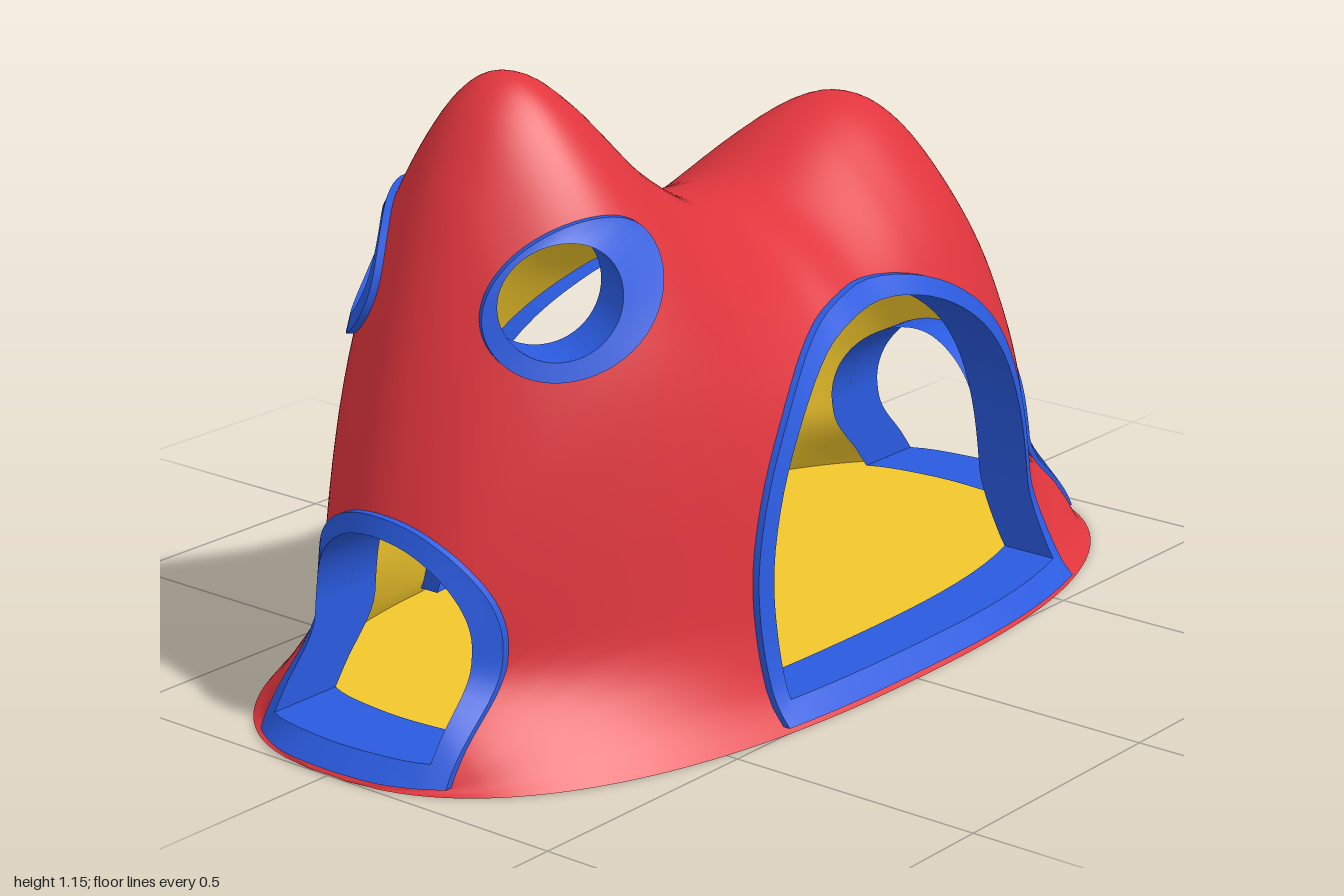
import * as THREE from 'three';
import { toCreasedNormals } from 'three/addons/utils/BufferGeometryUtils.js';

const RED = 0xe0353d, BLUE = 0x2a5be0, YELLOW = 0xf2c72c;
const V = (x, y, z) => new THREE.Vector3(x, y, z);
const { lerp, smoothstep } = THREE.MathUtils;

// Ridge line along x: two humps with a saddle between
const ridge = new THREE.CatmullRomCurve3([
  [-0.999, 0.001], [-0.95, 0.06], [-0.915, 0.15], [-0.885, 0.3], [-0.86, 0.43], [-0.805, 0.65], [-0.74, 0.85],
  [-0.68, 0.99], [-0.6, 1.11], [-0.54, 1.15], [-0.49, 1.145], [-0.42, 1.1], [-0.25, 0.945], [-0.07, 0.838],
  [0.03, 0.83], [0.12, 0.836], [0.28, 0.91], [0.38, 0.938], [0.45, 0.935], [0.52, 0.9], [0.6, 0.82], [0.7, 0.66],
  [0.82, 0.43], [0.87, 0.3], [0.91, 0.15], [0.95, 0.06], [0.999, 0.001],
].map(([x, y]) => V(x, y, 0))).getSpacedPoints(240);

// Cross-section as fractions of half width and ridge height, flared at the foot
const half = [[1, 0], [0.92, 0.055], [0.88, 0.2], [0.83, 0.4], [0.76, 0.565], [0.65, 0.7], [0.56, 0.78], [0.415, 0.87], [0.225, 0.958], [0.1, 0.992]];
const section = new THREE.CatmullRomCurve3([
  ...half.map(([g, t]) => V(g, t, 0)), V(0, 1, 0), ...half.map(([g, t]) => V(-g, t, 0)).reverse(),
]).getSpacedPoints(80);
const flank = section.slice(0, 41);

// Linear lookup of `to` where `from` rises through value
function lookup(points, value, from, to) {
  for (let i = 1; i < points.length; i++) {
    const p = points[i - 1], q = points[i];
    if (q[from] >= value) return lerp(p[to], q[to], (value - p[from]) / (q[from] - p[from] || 1));
  }
  return 0;
}

// Blunt oval footprint, narrowing to more pointed ends higher up
const footWidth = (x) => 0.52 * Math.max(0, 1 - Math.abs(x) ** 2.4) ** (1 / 2.4);
const bodyWidth = (x) => 0.52 * Math.sqrt(Math.max(0, 1 - x * x)) * (1 - 0.6 * x ** 4);

// Half depth of the shell at x and height y, t being y over the ridge height; the saddle is blunter
function halfDepth(x, y, t) {
  const saddle = Math.exp(-(((x - 0.03) / 0.2) ** 2));
  const u = t - 0.5 * saddle * t * t * (1 - t);
  return lerp(footWidth(x), bodyWidth(x), smoothstep(y, 0, 0.2)) * lookup(flank, u, 'y', 'x');
}
function inside(p) {
  if (Math.abs(p.x) > 0.998) return false;
  const t = p.y / lookup(ridge, p.x, 'x', 'y');
  return t < 1 && Math.abs(p.z) < halfDepth(p.x, p.y, t);
}

// Opening outlines; k runs from the clear opening (0) to the frame's outer edge (1)
function arch(cx, width, spring, rim) {
  return (k) => {
    const w = width - rim * (1 - k), y0 = lerp(0.05, 0.012, k);
    return {
      field: (a, b) => b > spring ? Math.hypot(a - cx, b - spring) - w : Math.max(Math.abs(a - cx) - w, y0 - b),
      loop() {
        const pts = [];
        for (let i = 0; i < 16; i++) pts.push([cx - w + (2 * w * i) / 16, y0]);
        for (let i = 0; i < 10; i++) pts.push([cx + w, lerp(y0, spring, i / 10)]);
        for (let i = 0; i < 40; i++) {
          const q = (Math.PI * i) / 40;
          pts.push([cx + w * Math.cos(q), spring + w * Math.sin(q)]);
        }
        for (let i = 0; i < 10; i++) pts.push([cx - w, lerp(spring, y0, i / 10)]);
        return pts;
      },
    };
  };
}
function porthole(k) {
  const rx = lerp(0.112, 0.175, k), ry = lerp(0.092, 0.118, k), cx = lerp(-0.436, -0.404, k), cy = 0.803;
  const c = Math.cos(0.42), s = Math.sin(0.42);
  return {
    field(a, b) {
      const u = a - cx, v = b - cy;
      return (Math.hypot((u * c + v * s) / rx, (v * c - u * s) / ry) - 1) * ry;
    },
    loop: () => Array.from({ length: 56 }, (_, i) => {
      const q = (i / 56) * Math.PI * 2, u = rx * Math.cos(q), v = ry * Math.sin(q);
      return [cx + u * c - v * s, cy + u * s + v * c];
    }),
  };
}

// Each opening is cut along an axis and repeated on the opposite side
const openings = [
  { name: 'sideArch', shape: arch(0.122, 0.48, 0.21, 0.035), depth: 0.1, coord: (p) => p.x,
    sides: [1, -1].map((s) => [V(1, 0, 0), V(0, 0, s)]) },
  { name: 'endDoor', shape: arch(0, 0.22, 0.217, 0.035), depth: 0.14, coord: (p) => p.z,
    sides: [1, -1].map((s) => [V(0, 0, 1), V(s, 0, 0)]) },
  { name: 'porthole', shape: porthole, depth: 0.1, coord: (p) => 0.866 * p.x + 0.5 * Math.abs(p.z),
    sides: [1, -1].map((s) => [V(0.866, 0, 0.5 * s), V(-0.5, 0, 0.866 * s)]) },
];

// Shell surface with the openings trimmed out of it
function shell(scale, k, floorY, inward) {
  const pos = [], index = [], cols = section.length;
  for (const r of ridge) for (const s of section) {
    const y = r.y * s.y, z = Math.sign(s.x) * halfDepth(r.x, y, s.y);
    pos.push(r.x * scale.x, y * scale.y, z * scale.z);
  }
  for (let i = 0; i < ridge.length - 1; i++) for (let j = 0; j < cols - 1; j++) {
    const a = i * cols + j, b = a + cols;
    index.push(...(inward ? [a, a + 1, b, b, a + 1, b + 1] : [a, b, a + 1, b, b + 1, a + 1]));
  }
  const grid = new THREE.BufferGeometry();
  grid.setAttribute('position', new THREE.Float32BufferAttribute(pos, 3));
  grid.setIndex(index);
  grid.computeVertexNormals();

  const cuts = openings.map((o) => ({ coord: o.coord, field: o.shape(k).field }));
  const verts = [];
  for (let i = 0; i < pos.length / 3; i++) {
    const p = V().fromBufferAttribute(grid.attributes.position, i);
    const f = Math.min(p.y - floorY, ...cuts.map((c) => c.field(c.coord(p), p.y)));
    verts.push({ p, n: V().fromBufferAttribute(grid.attributes.normal, i), f });
  }
  const outP = [], outN = [];
  for (let i = 0; i < index.length; i += 3) {
    const tri = [0, 1, 2].map((j) => verts[index[i + j]]), poly = [];
    tri.forEach((a, j) => {
      const b = tri[(j + 1) % 3];
      if (a.f >= 0) poly.push(a);
      if ((a.f >= 0) !== (b.f >= 0)) {
        const t = a.f / (a.f - b.f);
        poly.push({ p: a.p.clone().lerp(b.p, t), n: a.n.clone().lerp(b.n, t).normalize() });
      }
    });
    for (let j = 1; j < poly.length - 1; j++) for (const v of [poly[0], poly[j], poly[j + 1]]) {
      outP.push(v.p.x, v.p.y, v.p.z);
      outN.push(v.n.x, v.n.y, v.n.z);
    }
  }
  const geo = new THREE.BufferGeometry();
  geo.setAttribute('position', new THREE.Float32BufferAttribute(outP, 3));
  geo.setAttribute('normal', new THREE.Float32BufferAttribute(outN, 3));
  return geo;
}

// Raised rim and deep lining that follow the shell around an opening
function frame({ shape, depth }, across, axis) {
  const onShell = ([a, b], lift) => {
    const at = (t) => V(0, b, 0).addScaledVector(across, a).addScaledVector(axis, t);
    let lo = 0.2, hi = 1.1;
    for (let i = 0; i < 24; i++) {
      const mid = (lo + hi) / 2;
      if (inside(at(mid))) lo = mid; else hi = mid;
    }
    return at(lo + lift);
  };
  const outer = shape(1).loop(), inner = shape(0).loop(), n = outer.length;
  const rings = [[outer, -0.03], [outer, 0.014], [inner, 0.014], [inner, -depth]]
    .map(([loop, lift]) => loop.map((q) => onShell(q, lift)));
  const flip = V().crossVectors(across, V(0, 1, 0)).dot(axis) < 0;
  const index = [];
  for (let k = 0; k < 3; k++) for (let i = 0; i < n; i++) {
    const a = k * n + i, b = k * n + ((i + 1) % n), c = b + n, d = a + n;
    index.push(...(flip ? [a, c, b, a, d, c] : [a, b, c, a, c, d]));
  }
  const geo = new THREE.BufferGeometry().setFromPoints(rings.flat());
  geo.setIndex(index);
  return toCreasedNormals(geo, 0.7);
}

// Flat plate with the footprint's outline
function plate() {
  const edge = Array.from({ length: 65 }, (_, i) => -Math.cos((i / 64) * Math.PI));
  return new THREE.ShapeGeometry(new THREE.Shape([
    ...edge.map((x) => new THREE.Vector2(x, -footWidth(x))),
    ...edge.slice(1, -1).reverse().map((x) => new THREE.Vector2(x, footWidth(x))),
  ]));
}

export function createModel() {
  const model = new THREE.Group();
  const add = (name, geometry, color, side = THREE.FrontSide) => {
    const mesh = new THREE.Mesh(geometry, new THREE.MeshStandardMaterial({ color, side }));
    mesh.name = name;
    model.add(mesh);
  };

  add('outerShell', shell(V(1, 1, 1), 0.5, -1, false), RED);
  add('innerLining', shell(V(0.94, 0.95, 0.88), 0, 0.03, true), YELLOW);

  // Underside and inner floor
  add('base', plate().rotateX(Math.PI / 2), RED);
  add('floor', plate().rotateX(-Math.PI / 2).scale(0.9, 1, 0.88).translate(0, 0.04, 0), YELLOW);

  for (const o of openings) o.sides.forEach(([across, axis], i) =>
    add(`${o.name}Frame${i + 1}`, frame(o, across, axis), BLUE, THREE.DoubleSide));

  return model;
}
